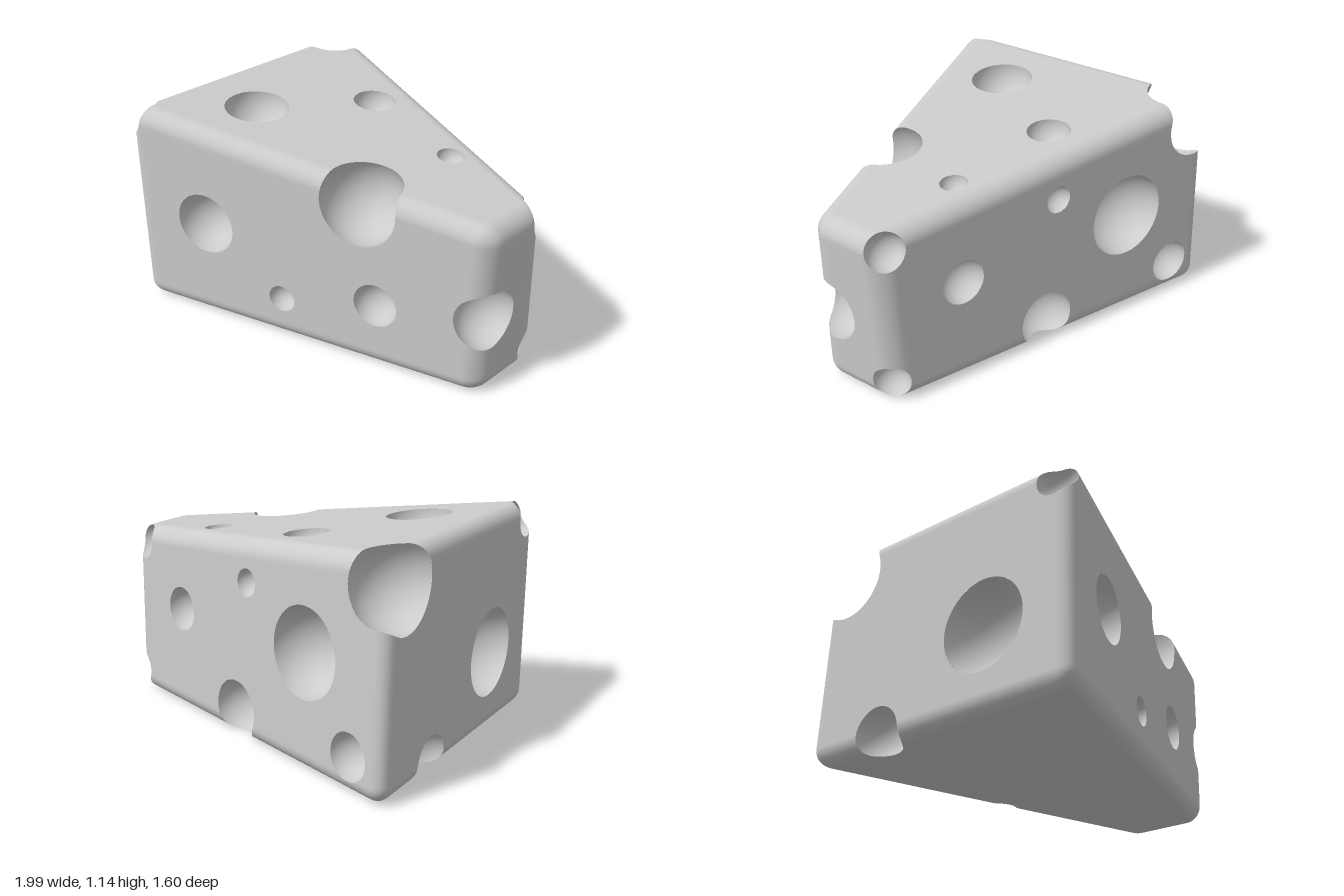
import * as THREE from 'three';

const V = (x, y, z) => new THREE.Vector3(x, y, z);
const ROUND = 0.09;

// Six planes of the wedge: outward normal and offset
const planes = [
  [-1, 0, 0, 1],             // broad end
  [1, -0.04, 0, 0.955],      // narrow end, leaning out
  [0, -1, 0, 0],             // bottom
  [0.108, 1, 0, 1.046],      // sloping top
  [0.281, 0, 1, 0.5415],     // front
  [0.33, 0.04, -1, 0.4964],  // back, leaning in
].map(([x, y, z, w]) => {
  const l = Math.hypot(x, y, z);
  return [x / l, y / l, z / l, w / l];
});

// Rounded wedge: negative inside
function wedge(p) {
  let s = 0;
  for (const [x, y, z, w] of planes) {
    const d = Math.max(0, x * p.x + y * p.y + z * p.z - w + ROUND);
    s += d * d;
  }
  return Math.sqrt(s) - ROUND;
}

function wedgeNormal(p) {
  const n = V(0, 0, 0);
  for (const [x, y, z, w] of planes) {
    const d = Math.max(0, x * p.x + y * p.y + z * p.z - w + ROUND);
    n.add(V(x, y, z).multiplyScalar(d));
  }
  return n.normalize();
}

const topY = (x) => 1.046 - 0.108 * x;
const frontZ = (x) => 0.5415 - 0.281 * x;
const backZ = (x, y) => -0.4964 + 0.33 * x + 0.04 * y;
const hole = (x, y, z, r) => ({ c: V(x, y, z), r });

const holes = [
  // front face
  hole(-0.56, 0.57, frontZ(-0.56), 0.17),
  hole(0.41, 0.37, frontZ(0.41), 0.12),
  hole(-0.12, 0.24, frontZ(-0.12), 0.076),
  hole(0.295, 0.9, 0.385, 0.22),
  // top face
  hole(-0.575, topY(-0.575), 0.29, 0.17),
  hole(-0.235, topY(-0.235), -0.255, 0.115),
  hole(0.405, topY(0.405), -0.135, 0.071),
  // narrow end
  hole(0.94, 0.43, 0.2, 0.165),
  hole(0.92, 0.86, -0.14, 0.1),
  hole(0.93, 0.11, -0.145, 0.1),
  // back face
  hole(-0.02, 0.83, backZ(-0.02, 0.83), 0.073),
  hole(0.54, 0.56, backZ(0.54, 0.56), 0.12),
  hole(-0.46, 0.59, backZ(-0.46, 0.59), 0.23),
  hole(0.05, 0.14, -0.455, 0.16),
  hole(-0.78, 0.185, -0.74, 0.12),
  // broad end
  hole(-0.95, 0.99, -0.62, 0.225),
  hole(-0.97, 1.06, 0.71, 0.1),
  hole(-1, 0.43, 0.31, 0.235),
  hole(-0.99, 0.06, -0.34, 0.14),
];

// Distance to the nearest hole: negative inside one
function outsideHoles(p, skip) {
  let d = Infinity;
  for (const h of holes) if (h !== skip) d = Math.min(d, p.distanceTo(h.c) - h.r);
  return d;
}

// Keep the part of a triangle list where keep(p) > 0, cutting triangles on the border
function clip(points, keep, normalAt) {
  const pos = [], nor = [];
  const cross = (a, b) => {
    let lo = a.clone(), hi = b.clone();
    for (let i = 0; i < 18; i++) {
      const m = lo.clone().lerp(hi, 0.5);
      if (keep(m) > 0) lo = m; else hi = m;
    }
    return lo;
  };
  for (let i = 0; i < points.length; i += 3) {
    const tri = points.slice(i, i + 3), val = tri.map(keep), poly = [];
    for (let k = 0; k < 3; k++) {
      const n = (k + 1) % 3, inA = val[k] > 0, inB = val[n] > 0;
      if (inA) poly.push(tri[k]);
      if (inA !== inB) poly.push(inA ? cross(tri[k], tri[n]) : cross(tri[n], tri[k]));
    }
    for (let k = 1; k + 1 < poly.length; k++) {
      for (const p of [poly[0], poly[k], poly[k + 1]]) {
        pos.push(p.x, p.y, p.z);
        nor.push(...normalAt(p).toArray());
      }
    }
  }
  const g = new THREE.BufferGeometry();
  g.setAttribute('position', new THREE.Float32BufferAttribute(pos, 3));
  g.setAttribute('normal', new THREE.Float32BufferAttribute(nor, 3));
  return g;
}

function trianglePoints(geometry, map) {
  const g = geometry.index ? geometry.toNonIndexed() : geometry;
  const a = g.attributes.position, out = [];
  for (let i = 0; i < a.count; i++) out.push(map(V(0, 0, 0).fromBufferAttribute(a, i)));
  return out;
}

// Move a point of a box onto the rounded wedge, with a finer grid near the edges
function toWedge(b) {
  const ease = (u) => 0.6 * u + 0.4 * Math.sin(u * Math.PI / 2);
  const x = ease(b.x), y = (ease(b.y) + 1) / 2 * topY(x), t = (ease(b.z) + 1) / 2;
  const target = V(x, y, backZ(x, y) * (1 - t) + frontZ(x) * t);
  const centre = V(-0.1, 0.5, 0), p = V(0, 0, 0);
  let lo = 0, hi = 1.3;
  for (let i = 0; i < 24; i++) {
    const m = (lo + hi) / 2;
    if (wedge(p.lerpVectors(centre, target, m)) < 0) lo = m; else hi = m;
  }
  return p.clone();
}

export function createModel() {
  const group = new THREE.Group();
  group.name = 'cheeseWedge';
  const material = new THREE.MeshStandardMaterial({ color: 0xcccccc });
  const add = (name, geometry) => {
    const mesh = new THREE.Mesh(geometry, material);
    mesh.name = name;
    group.add(mesh);
  };

  // Rounded wedge with openings where the holes break the surface
  const box = new THREE.BoxGeometry(2, 2, 2, 70, 46, 60);
  add('wedgeBody', clip(trianglePoints(box, toWedge), (p) => outsideHoles(p), wedgeNormal));

  // Hollow spherical pockets, trimmed to the inside of the wedge
  holes.forEach((h, i) => {
    const ball = new THREE.IcosahedronGeometry(h.r, 11);
    ball.scale(-1, 1, 1); // mirrored so that the faces look inwards
    const points = trianglePoints(ball, (p) => p.add(h.c));
    add(`hole${i + 1}`, clip(points,
      (p) => Math.min(-wedge(p), outsideHoles(p, h)),
      (p) => h.c.clone().sub(p).normalize()));
  });
  return group;
}
